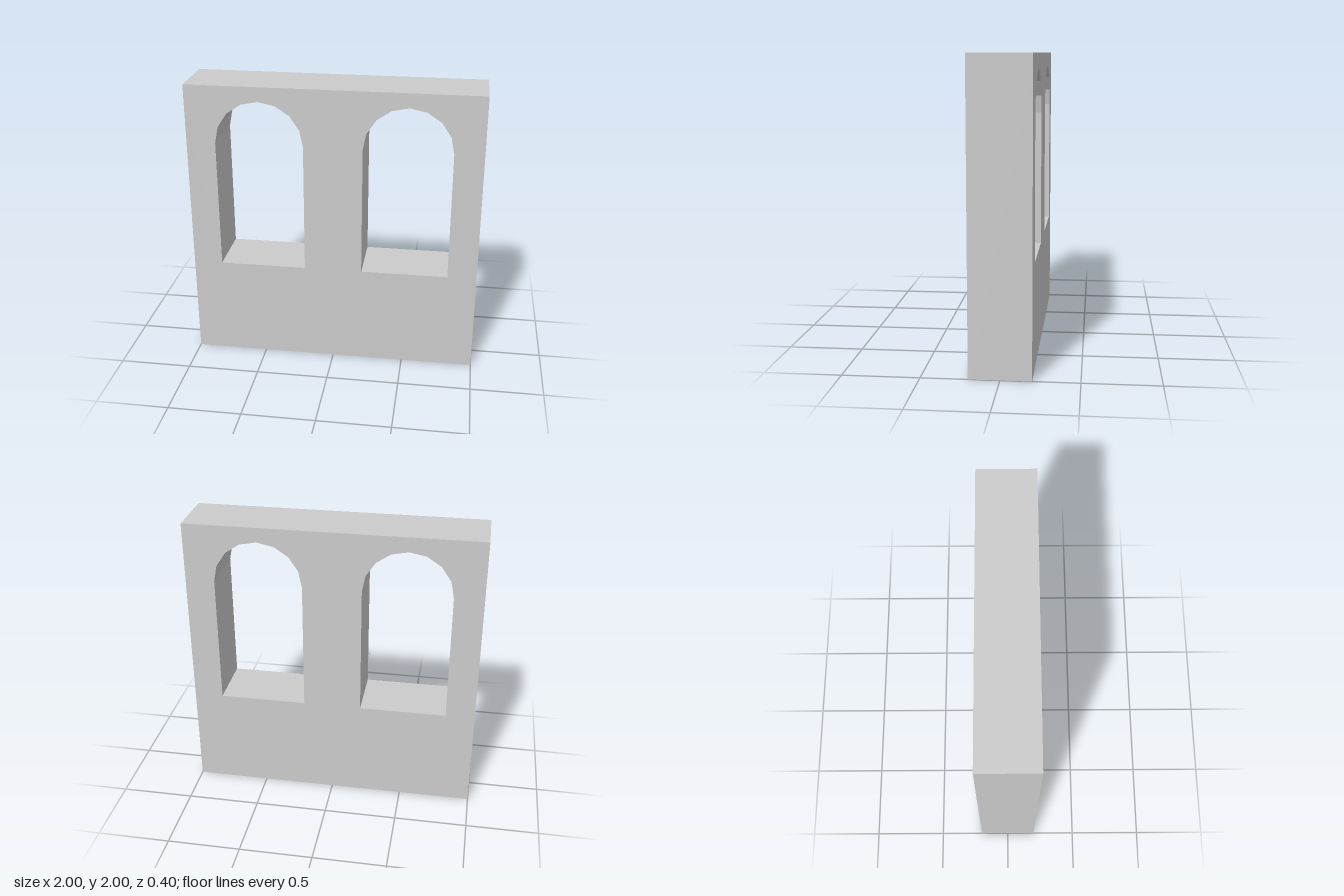
import * as THREE from 'three';

const DEPTH = 0.4;

// Round-headed window opening with a faceted arch
function archedOpening(centerX, halfWidth, sill, spring, segments) {
  const points = [
    new THREE.Vector2(centerX - halfWidth, sill),
    new THREE.Vector2(centerX + halfWidth, sill),
  ];
  for (let i = 0; i <= segments; i++) {
    const a = (i / segments) * Math.PI;
    points.push(new THREE.Vector2(
      centerX + halfWidth * Math.cos(a),
      spring + halfWidth * Math.sin(a),
    ));
  }
  return new THREE.Path(points);
}

export function createModel() {
  const group = new THREE.Group();
  group.name = 'archedWindowWall';

  // Square wall outline
  const outline = new THREE.Shape([
    new THREE.Vector2(-1, 0),
    new THREE.Vector2(1, 0),
    new THREE.Vector2(1, 2),
    new THREE.Vector2(-1, 2),
  ]);

  // Pair of mirrored windows
  for (const side of [-1, 1]) {
    outline.holes.push(archedOpening(side * 0.5, 0.3, 0.7, 1.6, 8));
  }

  const geometry = new THREE.ExtrudeGeometry(outline, { depth: DEPTH, bevelEnabled: false });
  geometry.translate(0, 0, -DEPTH / 2);

  const material = new THREE.MeshStandardMaterial({ color: 0xcccccc, flatShading: true });
  const wall = new THREE.Mesh(geometry, material);
  wall.name = 'wall';
  group.add(wall);

  return group;
}
